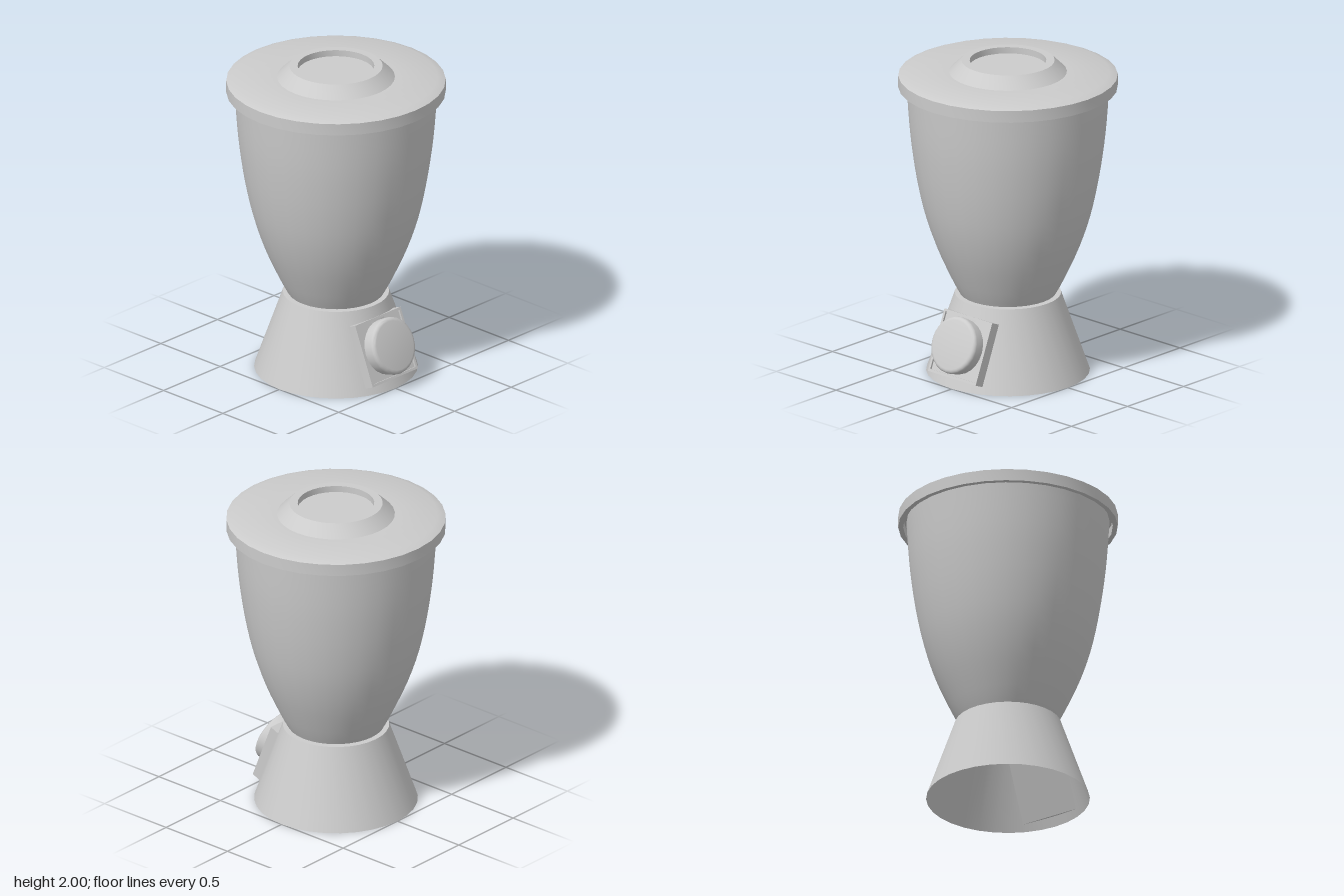
import * as THREE from 'three';
import { toCreasedNormals } from 'three/addons/utils/BufferGeometryUtils.js';

const material = new THREE.MeshStandardMaterial({ color: 0xcccccc, side: THREE.DoubleSide });

function addMesh(parent, name, geometry) {
  const mesh = new THREE.Mesh(toCreasedNormals(geometry, 0.6), material);
  mesh.name = name;
  parent.add(mesh);
  return mesh;
}

// Turned part from [radius, height] pairs, listed bottom to top along the outside
function turned(profile, segments = 32) {
  return new THREE.LatheGeometry(profile.map(([r, y]) => new THREE.Vector2(r, y)), segments);
}

function square(Type, half) {
  const s = new Type();
  s.moveTo(-half, -half);
  s.lineTo(half, -half);
  s.lineTo(half, half);
  s.lineTo(-half, half);
  s.closePath();
  return s;
}

export function createModel() {
  const model = new THREE.Group();
  model.name = 'blender';

  // Hollow conical base, open underneath
  addMesh(model, 'base', turned([[0.5, 0], [0.325, 0.5], [0, 0.5]]));

  // Curved jar
  const curve = new THREE.SplineCurve([
    [0.295, 0.505], [0.345, 0.6], [0.435, 0.8], [0.503, 1.0], [0.549, 1.2],
    [0.581, 1.4], [0.603, 1.6], [0.62, 1.86],
  ].map(([x, y]) => new THREE.Vector2(x, y)));
  const wall = curve.getPoints(20).map((p) => [p.x, p.y]);
  addMesh(model, 'jar', turned([[0, 0.505], ...wall]));

  // Lid with overhanging skirt, raised collar and shallow recess
  addMesh(model, 'lid', turned([
    [0, 1.89], [0.64, 1.89], [0.64, 1.83], [0.67, 1.83], [0.67, 1.905], [0.62, 1.925],
    [0.36, 1.927], [0.285, 2], [0.234, 2], [0.234, 1.96], [0, 1.96],
  ]));

  // Control panel leaning with the base wall
  const control = new THREE.Group();
  control.name = 'control';
  control.position.set(0, 0.2525, 0.4275);
  control.rotation.x = -THREE.MathUtils.degToRad(22);
  model.add(control);

  const backing = new THREE.BoxGeometry(0.4, 0.395, 0.053);
  addMesh(control, 'panel', backing.translate(0, 0, -0.0385));

  // Thin raised border around the panel face
  const border = square(THREE.Shape, 0.2);
  border.holes.push(square(THREE.Path, 0.185));
  const borderGeometry = new THREE.ExtrudeGeometry(border, { depth: 0.012, bevelEnabled: false });
  addMesh(control, 'panelBorder', borderGeometry.scale(1, 0.9875, 1).translate(0, 0, -0.012));

  // Round knob with a softened rim
  const rim = [];
  for (let i = 0; i <= 4; i++) {
    const a = (i / 4) * Math.PI / 2;
    rim.push([0.153 + 0.025 * Math.cos(a), 0.053 + 0.025 * Math.sin(a)]);
  }
  const knob = turned([[0, -0.02], [0.17, -0.02], ...rim, [0, 0.078]], 24);
  addMesh(control, 'knob', knob.rotateX(Math.PI / 2).translate(0, 0.004, 0));

  return model;
}
